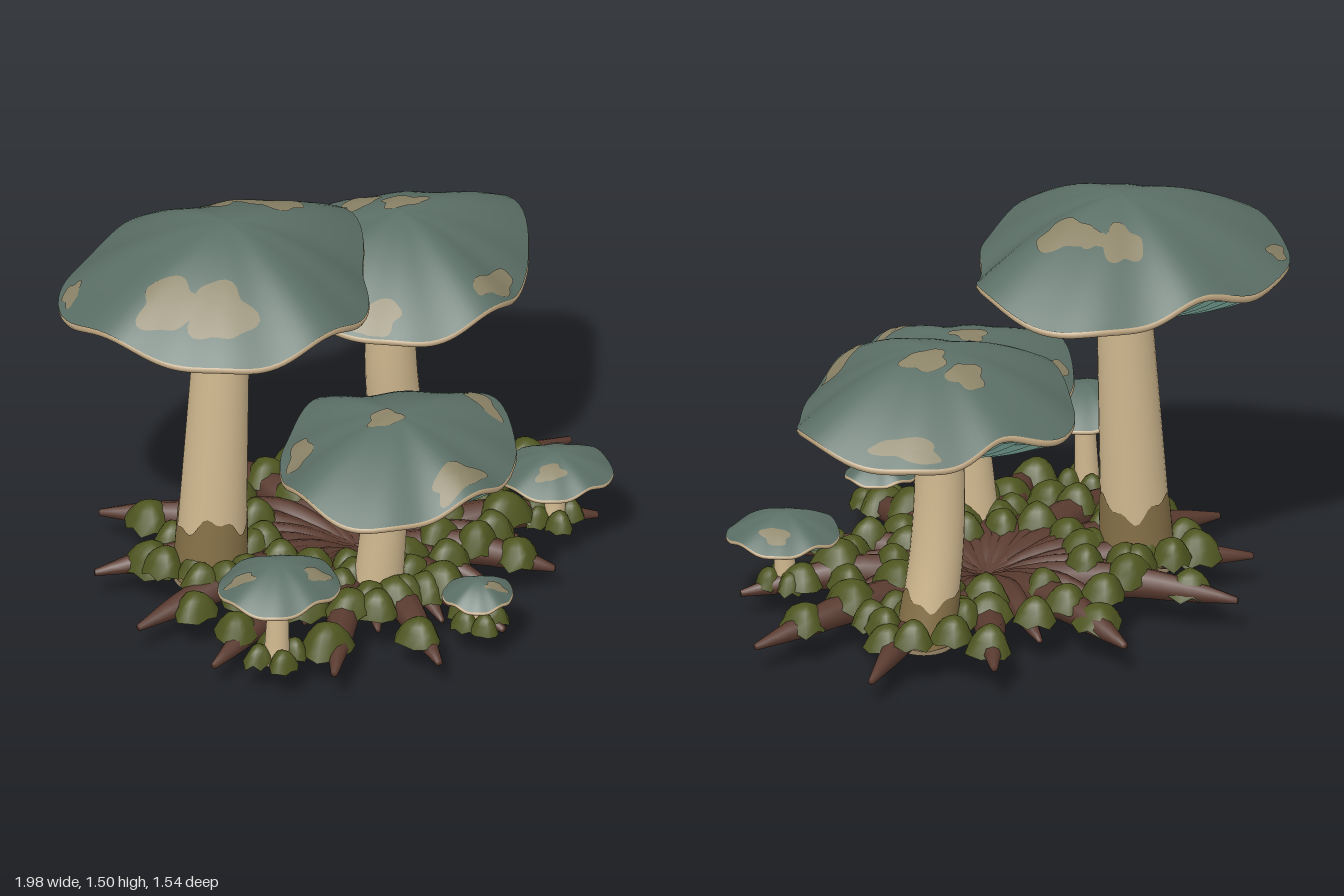
import * as THREE from 'three';
import { mergeGeometries } from 'three/addons/utils/BufferGeometryUtils.js';

const TAU = Math.PI * 2;
const mat = (name, color, side = THREE.FrontSide) => {
  const m = new THREE.MeshStandardMaterial({ color });
  m.name = name;
  m.side = side;
  return m;
};

// Surface from cross-section loops: f(angle, v) gives a point; loops close around the angle.
function loft(nu, nv, f) {
  const pos = [], idx = [];
  for (let j = 0; j <= nv; j++)
    for (let i = 0; i < nu; i++) pos.push(...f((i / nu) * TAU, j / nv));
  for (let j = 0; j < nv; j++)
    for (let i = 0; i < nu; i++) {
      const k = (i + 1) % nu, a = j * nu + i, b = j * nu + k;
      idx.push(a, a + nu, b, b, a + nu, b + nu);
    }
  const g = new THREE.BufferGeometry();
  g.setAttribute('position', new THREE.Float32BufferAttribute(pos, 3));
  g.setIndex(idx);
  g.computeVertexNormals();
  return g;
}

export function createModel() {
  const model = new THREE.Group();
  const M = {
    cap: mat('cap green', 0x5c7067), patch: mat('cap patch', 0x8c8468), rim: mat('rim tan', 0xc0a782),
    under: mat('gill light', 0x8db5a6), gill: mat('gill dark', 0x62877c, THREE.DoubleSide), stem: mat('stem cream', 0xd0b88f),
    stain: mat('stem base brown', 0x857047, THREE.DoubleSide), moss: mat('moss green', 0x4f5620, THREE.DoubleSide),
    root: mat('root brown', 0x593a2f),
  };
  let seed = 7;
  const rnd = () => (seed = (seed * 16807) % 2147483647) / 2147483647;
  const add = (parent, name, geo, material) => {
    const m = new THREE.Mesh(geo, material);
    m.name = name;
    parent.add(m);
  };

  // Moss: small bell-shaped tufts with a ragged hem
  const mossGeos = [];
  const addMoss = (x, y, z, r, h) => {
    const ph = rnd() * TAU, sx = 0.9 + rnd() * 0.25;
    mossGeos.push(loft(12, 4, (a, v) => {
      const t = 1 - v, k = r * t * (1 + 0.1 * Math.sin(3 * a + ph));
      const rag = v === 0 ? 0.012 * Math.sin(6 * a + ph) - 0.006 : 0;
      return [x + Math.cos(a) * k * sx, y + h * (1 - t ** 2.4) + rag, z + Math.sin(a) * k];
    }));
  };

  // radii run evenly around the cap from +x towards +z; foot and head are x, y, z, radius;
  // patches are x, z, half length, half width, turn.
  function addMushroom(name, s) {
    const g = new THREE.Group();
    g.name = name;
    model.add(g);
    const [cx, cz] = s.centre;
    const radius = new THREE.CatmullRomCurve3(s.radii.map(r => new THREE.Vector3(r, 0, 0)), true, 'catmullrom');
    const R = a => radius.getPoint(((a + TAU) % TAU) / TAU).x;
    const wave = (a, t) => s.wave * (0.7 * Math.cos(4 * a) + 0.3 * Math.cos(8 * a)) * t ** 1.6;
    const topY = (a, t) => s.rim + (s.top - s.rim) * (1 - t ** 1.7) + wave(a, t);
    const lowY = (a, t) => s.low + (s.rim - s.low - s.band) * t ** 1.85 + wave(a, t);
    const at = (a, t, y) => [cx + Math.cos(a) * R(a) * t, y, cz + Math.sin(a) * R(a) * t];

    // Cap, rim band and underside
    add(g, 'cap', loft(96, 18, (a, v) => at(a, Math.max(1 - v, 1e-4), topY(a, 1 - v))), M.cap);
    const ring = [];
    for (let i = 0; i < 72; i++) {
      const a = (i / 72) * TAU;
      ring.push(new THREE.Vector3(...at(a, 0.97, s.rim - s.band * 0.8 + wave(a, 1))));
    }
    add(g, 'rimBand', new THREE.TubeGeometry(new THREE.CatmullRomCurve3(ring, true), 144, s.band, 8, true), M.rim);
    const depth = (s.rim - s.low) * 0.22;
    const gillTop = (a, t) => lowY(a, t) + depth * Math.sin(Math.PI * t);
    add(g, 'underside', loft(72, 8, (a, v) => {
      const t = 0.05 + 0.93 * v;
      return at(a, t, gillTop(a, t));
    }), M.under);

    // Gill blades hanging under the cap, long and short in turn
    const blades = [];
    for (let i = 0; i < s.gills; i++) {
      const a = ((i + 0.5) / s.gills) * TAU, t0 = i % 2 ? 0.5 : 0.22, b = new THREE.PlaneGeometry(1, 1, 7, 1);
      const p = b.attributes.position;
      for (let k = 0; k < p.count; k++) {
        const t = t0 + (0.97 - t0) * (p.getX(k) + 0.5);
        p.setXYZ(k, ...at(a, t, p.getY(k) > 0 ? gillTop(a, t) + 0.002 : lowY(a, t)));
      }
      b.computeVertexNormals();
      blades.push(b);
    }
    add(g, 'gills', mergeGeometries(blades), M.gill);

    // Irregular patches lying on the cap
    const spots = s.patches.map(([px, pz, l, w, turn], n) => loft(36, 5, (a, v) => {
      const k = (1 - v) * (1 + 0.16 * Math.sin(3 * a + n) + 0.1 * Math.sin(5 * a + 2 * n));
      const u = Math.cos(a) * l * k, q = Math.sin(a) * w * k;
      const x = px - cx + u * Math.cos(turn) - q * Math.sin(turn), z = pz - cz + u * Math.sin(turn) + q * Math.cos(turn);
      const th = Math.atan2(z, x), t = Math.min(0.99, Math.hypot(x, z) / R(th));
      return at(th, t, topY(th, t) + 0.004);
    }));
    add(g, 'capPatches', mergeGeometries(spots), M.patch);

    // Bent stem with a closed foot, and a ragged stained sleeve where it is dirty
    const foot = new THREE.Vector3(...s.foot), head = new THREE.Vector3(...s.head);
    const [x, y, z, r] = s.foot;
    const stemAt = (a, v, extra) => {
      const p = foot.clone().lerp(head, v), w = extra + r + (s.head[3] - r) * v;
      return [p.x + s.bend * Math.sin(Math.PI * v) + Math.cos(a) * w, p.y, p.z + Math.sin(a) * w];
    };
    add(g, 'stem', loft(28, 12, (a, v) => v === 0 ? [x, y, z] : stemAt(a, (v * 12 - 1) / 11, 0)), M.stem);
    if (s.stain) {
      const span = (s.stain - y) / (head.y - y);
      add(g, 'stemBaseStain', loft(48, 5, (a, v) =>
        stemAt(a, (0.1 + 0.9 * v) * span * (1 + 0.14 * Math.sin(3 * a + 1) + 0.06 * Math.sin(8 * a)), 0.004)), M.stain);
    }

    // Moss collar at the foot
    const large = r > 0.05, n = large ? 6 : 4, d = r + (large ? 0.04 : 0.02);
    for (let i = 0; i < n; i++) {
      const a = (i / n) * TAU + 0.4;
      addMoss(x + Math.cos(a) * d, large ? 0.17 : 0.13, z + Math.sin(a) * d, large ? 0.07 : 0.05, large ? 0.08 : 0.06);
    }
  }

  addMushroom('tallMushroom', {
    centre: [-0.42, -0.2], radii: [0.58, 0.475, 0.5, 0.51, 0.51, 0.51, 0.565, 0.59, 0.53, 0.48, 0.495, 0.575],
    top: 1.51, rim: 1.258, low: 1.065, wave: 0.045, band: 0.016, gills: 64,
    foot: [-0.485, 0.1, -0.22, 0.125], head: [-0.425, 1.12, -0.22, 0.094], bend: 0, stain: 0.35,
    patches: [[-0.78, -0.1, 0.11, 0.08, 0.5], [-0.67, 0.04, 0.11, 0.09, 0.9], [-0.28, -0.4, 0.07, 0.07, 0],
      [-0.15, -0.25, 0.1, 0.065, 0.5], [-0.21, -0.33, 0.05, 0.04, 0.8], [-0.87, -0.5, 0.06, 0.03, -0.7]],
  });
  addMushroom('middleMushroom', {
    centre: [0.42, -0.24], radii: [0.53, 0.45, 0.43, 0.46, 0.465, 0.45, 0.5, 0.49, 0.5, 0.415, 0.455, 0.49],
    top: 1.18, rim: 0.958, low: 0.785, wave: 0.042, band: 0.015, gills: 60,
    foot: [0.485, 0.1, -0.29, 0.1], head: [0.405, 0.85, -0.27, 0.083], bend: -0.025, stain: 0.28,
    patches: [[0.4, -0.42, 0.065, 0.06, 0], [0.48, -0.29, 0.08, 0.055, 0.4], [0.73, -0.52, 0.12, 0.035, 0.8],
      [0.52, 0.13, 0.12, 0.04, -0.35], [0.09, -0.02, 0.1, 0.05, 0.8]],
  });
  addMushroom('frontMushroom', {
    centre: [-0.13, 0.33], radii: [0.465, 0.425, 0.4, 0.4, 0.4, 0.45, 0.44, 0.4, 0.39, 0.41, 0.42, 0.46],
    top: 0.855, rim: 0.685, low: 0.495, wave: 0.04, band: 0.014, gills: 56,
    foot: [-0.17, 0.1, 0.28, 0.088], head: [-0.145, 0.56, 0.31, 0.075], bend: 0,
    patches: [[-0.17, 0.32, 0.06, 0.05, 0.4], [-0.14, 0.66, 0.11, 0.05, 0], [0.25, 0.36, 0.08, 0.04, 1.6],
      [-0.4, 0.14, 0.09, 0.04, -0.7]],
  });
  addMushroom('leftSmallMushroom', {
    centre: [-0.69, 0.35], radii: [0.2, 0.21, 0.185, 0.205, 0.21, 0.205, 0.18, 0.18],
    top: 0.51, rim: 0.418, low: 0.345, wave: 0.015, band: 0.009, gills: 36,
    foot: [-0.7, 0.11, 0.35, 0.045], head: [-0.69, 0.375, 0.35, 0.035], bend: 0,
    patches: [[-0.82, 0.3, 0.05, 0.03, 1], [-0.6, 0.45, 0.05, 0.03, 0.2]],
  });
  addMushroom('rightSmallMushroom', {
    centre: [0.605, 0.34], radii: [0.19, 0.2, 0.175, 0.18, 0.19, 0.185, 0.17, 0.18],
    top: 0.395, rim: 0.316, low: 0.25, wave: 0.014, band: 0.008, gills: 32,
    foot: [0.6, 0.11, 0.34, 0.04], head: [0.61, 0.275, 0.34, 0.034], bend: 0,
    patches: [[0.53, 0.4, 0.05, 0.03, 0.5], [0.7, 0.27, 0.05, 0.03, 1]],
  });
  addMushroom('tinyMushroom', {
    centre: [-0.045, 0.66], radii: [0.125, 0.11, 0.11, 0.11, 0.125, 0.11],
    top: 0.305, rim: 0.243, low: 0.2, wave: 0.009, band: 0.007, gills: 28,
    foot: [-0.04, 0.11, 0.66, 0.032], head: [-0.04, 0.22, 0.66, 0.027], bend: 0,
    patches: [[-0.01, 0.71, 0.04, 0.02, 0.3]],
  });

  // Roots: tapered spikes rising from the centre and drooping to their tips
  const rootGeos = [];
  const addRoot = (deg, reach, thick) => {
    const bend = (rnd() - 0.5) * 0.12, lift = (rnd() - 0.5) * 0.04;
    // profile points: distance out, height, radius
    const curve = new THREE.CatmullRomCurve3([[0.01, 0.065, 0.055], [0.25, 0.12, 0.075], [0.55, 0.16, 0.06],
      [0.8, 0.145 + lift / 2, 0.042], [1, 0.12 + lift, 0.012]].map(([d, y, w]) => new THREE.Vector3(d * reach, y, w * thick)));
    rootGeos.push(loft(8, 14, (a, v) => {
      const p = curve.getPoint(Math.min(1, v * 14 / 13));
      const w = v === 1 ? 0 : p.z; // closed tip
      return [p.x, p.y + w * Math.sin(a), w * Math.cos(a) + bend * v * (1 - v)];
    }).rotateY(-deg * Math.PI / 180));
  };
  const mossAt = (deg, d, y, r, h) => {
    const a = deg * Math.PI / 180;
    addMoss(Math.cos(a) * d, y, Math.sin(a) * d, r, h);
  };
  // Directions in degrees (0 = left, 90 = front) with reach, ending where they began
  const roots = [[0, 0.99], [28, 0.85], [54, 0.69], [90, 0.74], [112, 0.8], [138, 0.85], [166, 0.9], [187, 0.92],
    [210, 0.92], [234, 0.9], [269, 0.77], [305, 0.81], [332, 0.93], [360, 0.99]];
  for (let i = 0; i < roots.length - 1; i++) {
    const [deg, reach] = roots[i], mid = (deg + roots[i + 1][0]) / 2;
    addRoot(deg, reach, 1);
    addRoot(mid, 0.55, 0.75);
    // Moss along each root and in the gap beside it
    for (const [f, y] of [[0.37, 0.175], [0.57, 0.175], [0.79, 0.14]])
      mossAt(deg + (rnd() - 0.5) * 8, reach * f + (rnd() - 0.5) * 0.06, y, 0.07 + rnd() * 0.025, 0.07 + rnd() * 0.025);
    mossAt(mid, reach * (0.5 + rnd() * 0.18), 0.165, 0.075, 0.08);
  }
  add(model, 'roots', mergeGeometries(rootGeos), M.root);
  add(model, 'moss', mergeGeometries(mossGeos), M.moss);
  return model;
}
